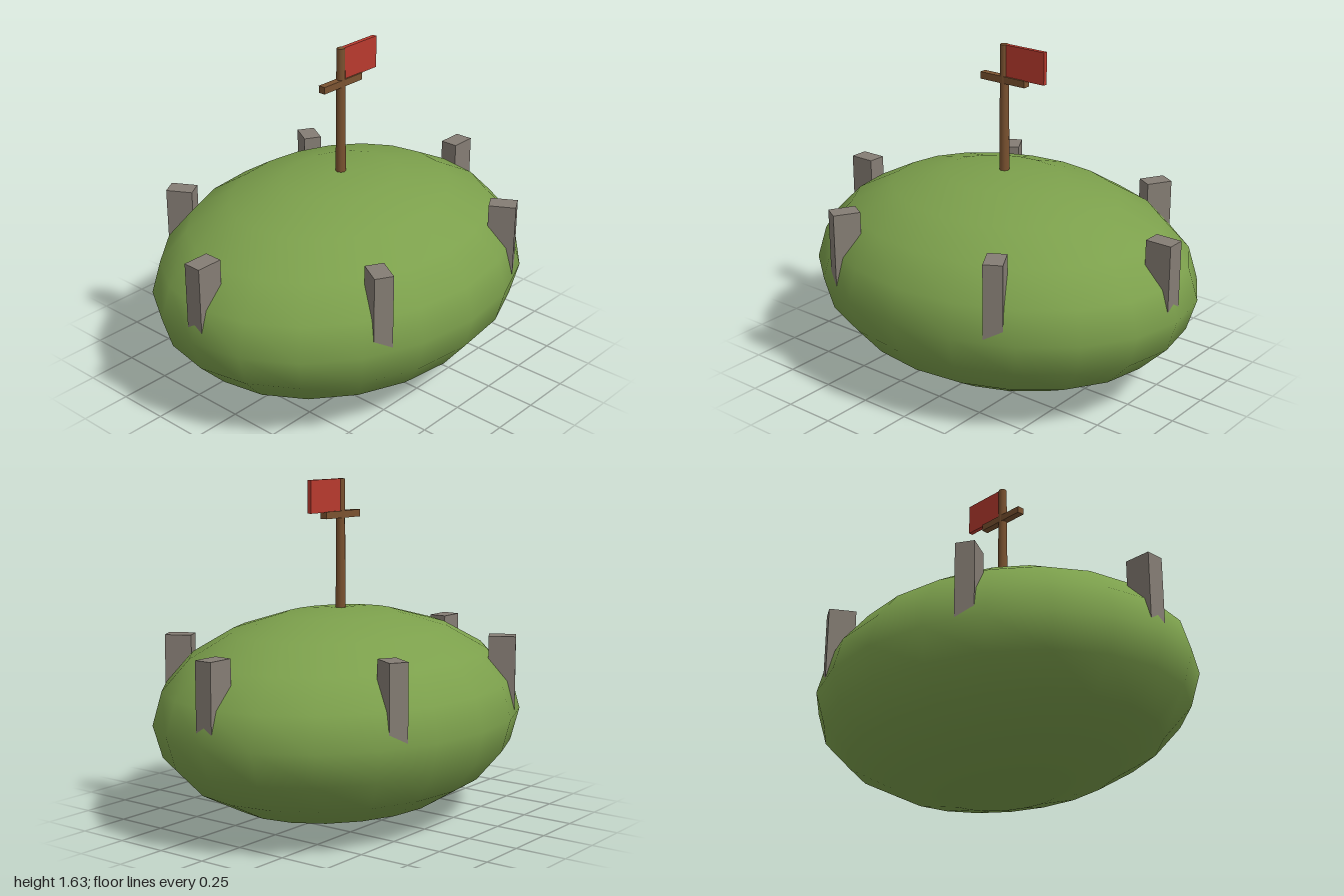
import * as THREE from 'three';

const material = (name, color, flatShading = false) => {
  const m = new THREE.MeshStandardMaterial({ color });
  m.name = name;
  m.flatShading = flatShading;
  return m;
};

export function createModel() {
  const grass = material('grass', 0x7ca04c);
  const stone = material('stone', 0x857d74);
  const wood = material('wood', 0x7a5230);
  const cloth = material('cloth', 0xb83a2e);

  const model = new THREE.Group();
  model.name = 'hillWithFlag';
  const add = (name, geometry, mat, x, y, z, parent = model) => {
    const mesh = new THREE.Mesh(geometry, mat);
    mesh.name = name;
    mesh.position.set(x, y, z);
    parent.add(mesh);
    return mesh;
  };

  // Flattened ellipsoid hill
  const hill = new THREE.SphereGeometry(1, 20, 10).scale(1, 0.51, 0.815);
  add('hill', hill, grass, 0, 0.51, 0);

  // Six standing stones, long side pointing outwards
  const stones = new THREE.Group();
  stones.name = 'standingStones';
  model.add(stones);
  const stoneGeometry = new THREE.BoxGeometry(0.13, 0.37, 0.09);
  for (let i = 0; i < 6; i++) {
    const a = (i * Math.PI) / 3;
    const s = add('standingStone', stoneGeometry, stone,
      0.91 * Math.cos(a), 0.7, 0.732 * Math.sin(a), stones);
    s.rotation.y = -a;
  }

  // Signpost with crossbar and flag
  const sign = new THREE.Group();
  sign.name = 'flagPost';
  model.add(sign);
  add('post', new THREE.CylinderGeometry(0.02, 0.025, 0.655, 8), wood, 0, 1.3075, 0, sign);
  add('crossbar', new THREE.BoxGeometry(0.262, 0.034, 0.036), wood, 0, 1.466, 0, sign);
  add('flag', new THREE.BoxGeometry(0.222, 0.155, 0.022), cloth, 0.128, 1.5575, 0, sign);

  return model;
}
